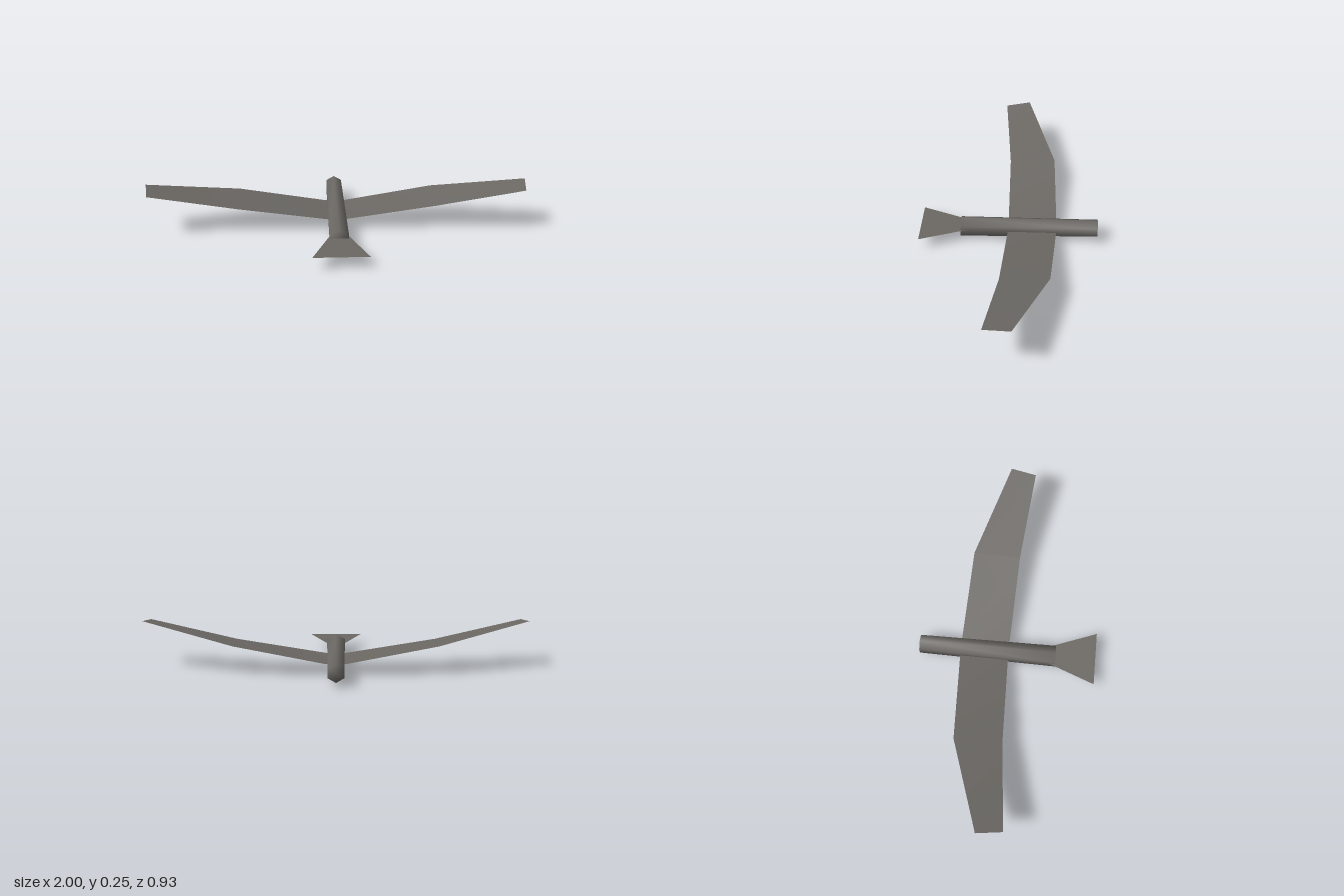
import * as THREE from 'three';
import { mergeVertices } from 'three/addons/utils/BufferGeometryUtils.js';

// Thin sheet through a row of chords; each chord is [front point, back point], ordered from -x to +x
function sheet(chords) {
  const geometry = new THREE.BufferGeometry();
  geometry.setAttribute('position', new THREE.Float32BufferAttribute(chords.flat(2), 3));
  const index = [];
  for (let i = 0; i < chords.length - 1; i++) {
    const a = i * 2;
    index.push(a, a + 2, a + 1, a + 1, a + 2, a + 3);
  }
  geometry.setIndex(index);
  geometry.computeVertexNormals();
  return geometry;
}

export function createModel() {
  const grey = new THREE.MeshStandardMaterial({ color: 0x6b6864, side: THREE.DoubleSide });
  grey.name = 'warm grey';
  const group = new THREE.Group();
  group.name = 'glider';
  const add = (name, geometry) => {
    const mesh = new THREE.Mesh(geometry, grey);
    mesh.name = name;
    group.add(mesh);
  };

  // Fuselage: tapered six-sided bar, slightly raised at the -z end, shaded smoothly over its ends
  let body = new THREE.CylinderGeometry(0.056, 0.048, 0.72, 6, 1);
  body.rotateX(Math.PI / 2);
  const p = body.attributes.position;
  for (let i = 0; i < p.count; i++) p.setY(i, p.getY(i) + 0.0667 - p.getZ(i) * 0.0223);
  body.translate(0, 0, -0.107);
  body.deleteAttribute('normal');
  body.deleteAttribute('uv');
  body = mergeVertices(body);
  body.computeVertexNormals();
  add('fuselage', body);

  // Wing: root, bend and swept tip chords, mirrored across the centre
  const half = [
    [[0.98, 0.235, 0.066], [1, 0.25, -0.068]],
    [[0.52, 0.138, 0.019], [0.52, 0.153, -0.229]],
    [[0.05, 0.065, 0.004], [0.05, 0.066, -0.25]],
  ];
  const mirrored = half.map(chord => chord.map(([x, y, z]) => [-x, y, z]));
  add('wing', sheet([...mirrored, ...half.slice().reverse()]));

  // Tailplane: level trapezoid widening toward +z
  add('tailplane', sheet([
    [[-0.142, 0.069, 0.465], [-0.04, 0.069, 0.2]],
    [[0.142, 0.069, 0.465], [0.04, 0.069, 0.2]],
  ]));

  return group;
}
